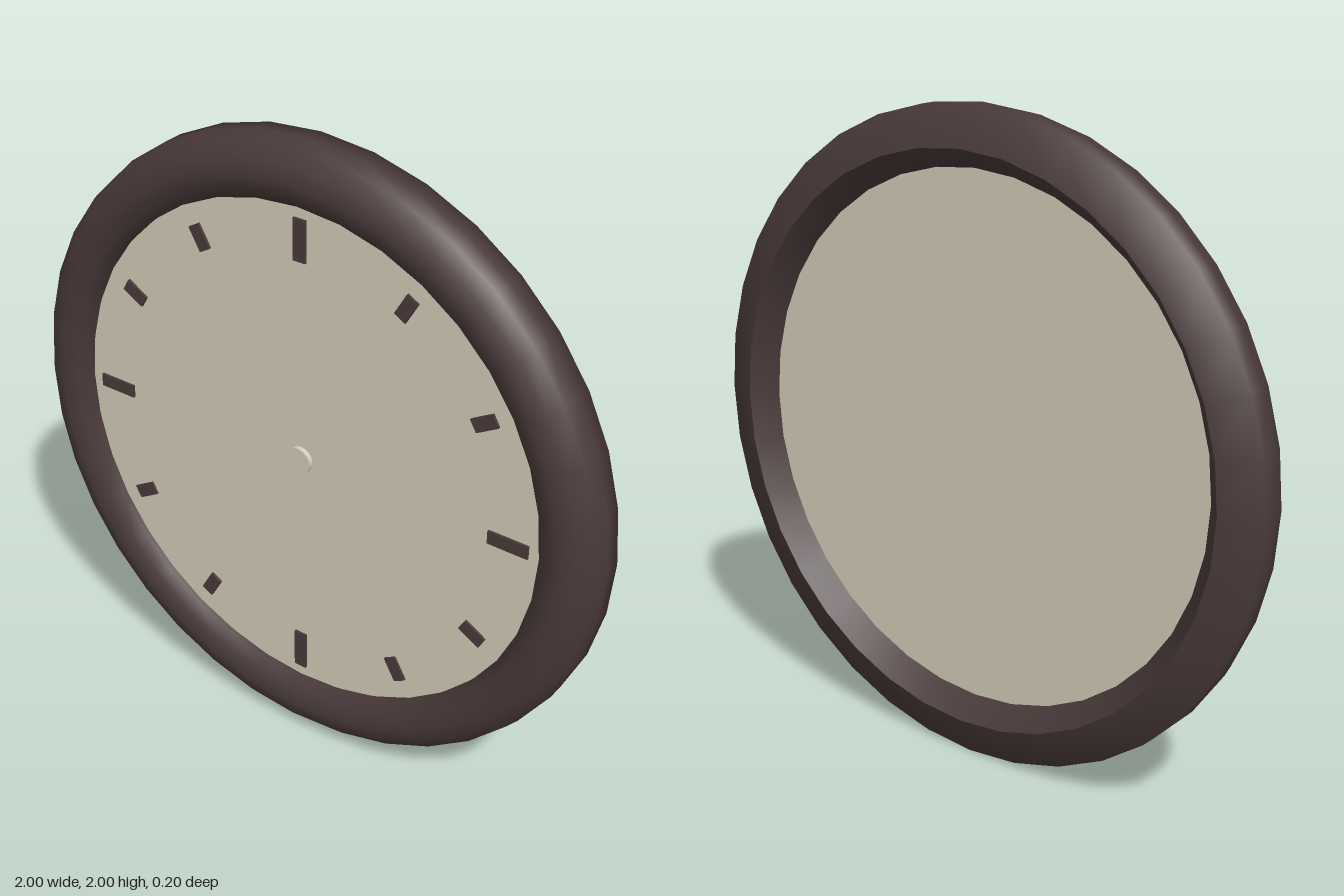
import * as THREE from 'three';

export function createModel() {
  const group = new THREE.Group();
  const wood = new THREE.MeshStandardMaterial({ color: 0x4a3a3a });
  wood.name = 'dark brown';
  const cream = new THREE.MeshStandardMaterial({ color: 0xd7cfba });
  cream.name = 'cream';

  const add = (name, geometry, material, z = 0) => {
    const mesh = new THREE.Mesh(geometry, material);
    mesh.name = name;
    mesh.position.set(0, 1, z);
    group.add(mesh);
    return mesh;
  };

  // Round frame: rounded front, chamfered back with a sharp inner edge
  const profile = [
    [0.88, -0.1], [1, -0.055], [1, 0], [0.987, 0.05], [0.95, 0.087], [0.9, 0.1],
    [0.85, 0.087], [0.82, 0.055], [0.818, -0.03], [0.88, -0.1],
  ].map(([r, z]) => new THREE.Vector2(r, z));
  add('frame', new THREE.LatheGeometry(profile, 36).rotateX(Math.PI / 2), wood);

  // Dial plate and the small centre hub
  const disc = (radius, depth, sides) =>
    new THREE.CylinderGeometry(radius, radius, depth, sides).rotateX(Math.PI / 2);
  add('dial', disc(0.82, 0.07, 48), cream, 0.005);
  add('hub', disc(0.043, 0.02, 16), cream, 0.045);

  // Twelve hour marks, longer at the quarters
  for (let i = 0; i < 12; i++) {
    const quarter = i % 3 === 0;
    const mark = new THREE.BoxGeometry(0.042, quarter ? 0.13 : 0.08, 0.009);
    mark.translate(0, 0.715, 0);
    add('hourMark', mark, wood, 0.0435).rotation.z = -i * Math.PI / 6;
  }
  return group;
}
